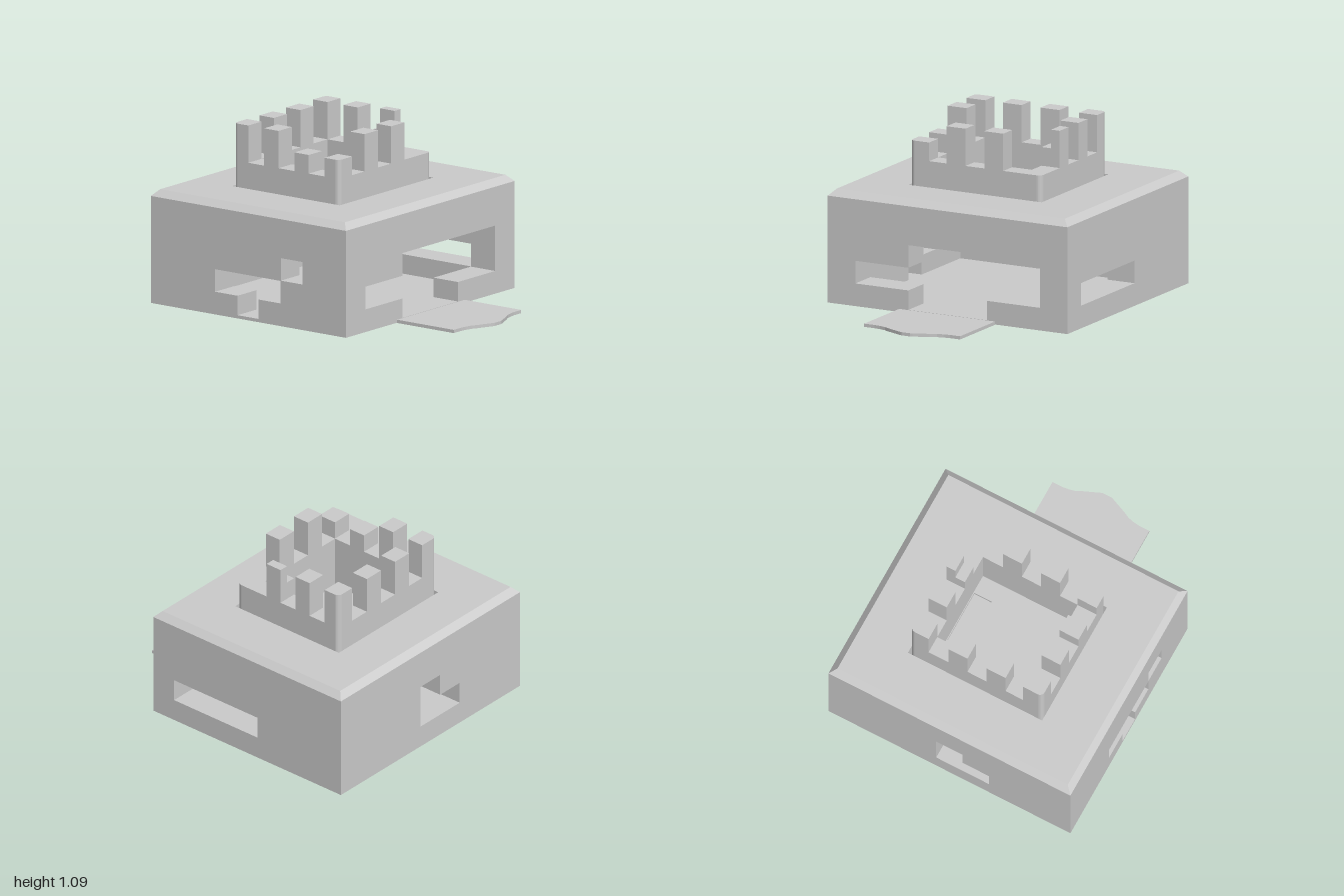
import * as THREE from 'three';

const material = new THREE.MeshStandardMaterial({ color: 0xcccccc, flatShading: true });

// Closed shape from corner points, with optional holes
function shapeOf(points, holes = []) {
  const toV = (p) => p.map(([a, b]) => new THREE.Vector2(a, b));
  const shape = new THREE.Shape(toV(points));
  holes.forEach((h) => shape.holes.push(new THREE.Path(toV(h))));
  return shape;
}

const rect = (a0, a1, b0, b1) => [[a0, b0], [a1, b0], [a1, b1], [a0, b1]];

// Rectangle with rounded corners; radii in order of rect() corners
function roundedRect(a0, a1, b0, b1, radii) {
  const centres = [[a0, b0, 1, 1], [a1, b0, -1, 1], [a1, b1, -1, -1], [a0, b1, 1, -1]];
  return centres.flatMap(([a, b, sa, sb], i) => {
    const r = radii[i];
    if (!r) return [[a, b]];
    return Array.from({ length: 6 }, (_, k) => {
      const t = Math.PI * (1 + i / 2 + k / 10);
      return [a + sa * r + r * Math.cos(t), b + sb * r + r * Math.sin(t)];
    });
  });
}

export function createModel() {
  const model = new THREE.Group();

  const add = (name, geometry, parent = model) => {
    const mesh = new THREE.Mesh(geometry, material);
    mesh.name = name;
    parent.add(mesh);
    return mesh;
  };
  const extrude = (shape, depth) => new THREE.ExtrudeGeometry(shape, { depth, bevelEnabled: false });
  // Plan shape (x, -z) raised from y0 to y1
  const slab = (shape, y0, y1) => extrude(shape, y1 - y0).rotateX(-Math.PI / 2).translate(0, y0, 0);

  const X0 = -1, X1 = 0.485, Z = 0.825, WALL = 0.185, CEIL = 0.51;
  const innerZ = Z - WALL;

  // Front and back walls with stepped openings
  const face = rect(X0, X1, 0, CEIL);
  const frontOpenings = [
    [[-0.51, 0.14], [-0.34, 0.14], [-0.34, 0.02], [-0.18, 0.02], [-0.18, 0.14],
      [-0.012, 0.14], [-0.012, 0.279], [-0.51, 0.279]],
    rect(-0.011, 0.155, 0.281, 0.42),
  ];
  add('frontWall', extrude(shapeOf(face, frontOpenings), WALL).translate(0, 0, innerZ));
  add('backWall', extrude(shapeOf(face, [rect(-0.34, 0.32, 0.14, 0.28)]), WALL).translate(0, 0, -Z));

  // Side walls: profile runs along -z
  const side = rect(-innerZ, innerZ, 0, CEIL);
  const sideWall = (name, hole, x) =>
    add(name, extrude(shapeOf(side, [hole]), WALL).rotateY(Math.PI / 2).translate(x, 0, 0));
  sideWall('leftWall', [
    [-0.27, 0.02], [0.27, 0.02], [0.27, 0.14], [0.635, 0.14], [0.635, 0.42],
    [-0.27, 0.42], [-0.27, 0.28], [-0.635, 0.28], [-0.635, 0.14], [-0.27, 0.14],
  ], X1 - WALL);
  sideWall('rightWall', [
    [-0.27, 0.14], [0.09, 0.14], [0.09, 0.42], [-0.09, 0.42], [-0.09, 0.28], [-0.27, 0.28],
  ], X0);

  // Floor inside the walls
  add('floor', slab(shapeOf(rect(X0 + WALL, X1 - WALL, -innerZ, innerZ)), 0, 0.02));

  // Roof with a slot for the tower, chamfered at the top
  const roof = shapeOf(rect(X0, X1, -Z, Z), [rect(-0.67, 0.15, -0.455, 0.46)]);
  add('roof', slab(roof, CEIL, 0.66));
  const chamfer = slab(roof, 0.66, 0.7);
  const pos = chamfer.attributes.position;
  for (let i = 0; i < pos.count; i++) {
    if (pos.getY(i) < 0.69 || Math.abs(pos.getZ(i)) < 0.8) continue;
    pos.setX(i, pos.getX(i) - 0.04 * Math.sign(pos.getX(i)));
    pos.setZ(i, pos.getZ(i) - 0.04 * Math.sign(pos.getZ(i)));
  }
  chamfer.computeVertexNormals();
  add('roofChamfer', chamfer);

  // Tower shaft and its floor with a slot
  const tower = new THREE.Group();
  tower.name = 'tower';
  model.add(tower);
  const r = 0.03;
  const shaft = shapeOf(roundedRect(-0.66, 0.14, -0.45, 0.45, [r, r, r, r]), [rect(-0.55, 0.03, -0.32, 0.325)]);
  add('towerWall', slab(shaft, CEIL, 0.86), tower);
  const towerFloor = shapeOf(rect(-0.55, 0.03, -0.32, 0.325), [rect(-0.43, -0.09, 0.2, 0.32)]);
  add('towerFloor', slab(towerFloor, CEIL, 0.53), tower);

  // Battlements around the rim; plan rows run from front (-z) to back
  const xs = [[-0.66, -0.55], [-0.43, -0.32], [-0.2, -0.09], [0.03, 0.14]];
  const rows = [[-0.45, -0.32], [-0.2, -0.07], [0.06, 0.19], [0.325, 0.45]];
  rows.forEach(([b0, b1], j) => xs.forEach(([a0, a1], i) => {
    const endI = i % 3 === 0, endJ = j % 3 === 0;
    if (!endI && !endJ) return;
    if (i === 3 && j === 3) return; // broken corner
    const radii = [0, 0, 0, 0];
    if (endI && endJ) radii[j === 0 ? (i === 0 ? 0 : 1) : (i === 0 ? 3 : 2)] = r;
    const low = (j === 0 && i >= 2) || (j === 3 && i === 2);
    add('battlement', slab(shapeOf(roundedRect(a0, a1, b0, b1, radii)), 0.86, low ? 0.975 : 1.09), tower);
  }));
  // Half-broken battlement at the back
  add('brokenBattlement', slab(shapeOf(rect(-0.2, -0.09, 0.39, 0.45)), 0.975, 1.09), tower);

  // Loose drawbridge plate with a curved, pointed end
  const half = [[0.92, 0.33], [0.92, 0.26], [0.925, 0.22], [0.935, 0.18], [0.955, 0.14], [0.98, 0.08], [0.995, 0.045], [1, 0.03]];
  const outline = [[0.49, -0.33], ...half.map(([a, b]) => [a, -b]), ...half.slice().reverse(), [0.49, 0.33]];
  add('drawbridge', slab(shapeOf(outline), 0, 0.02));

  return model;
}
